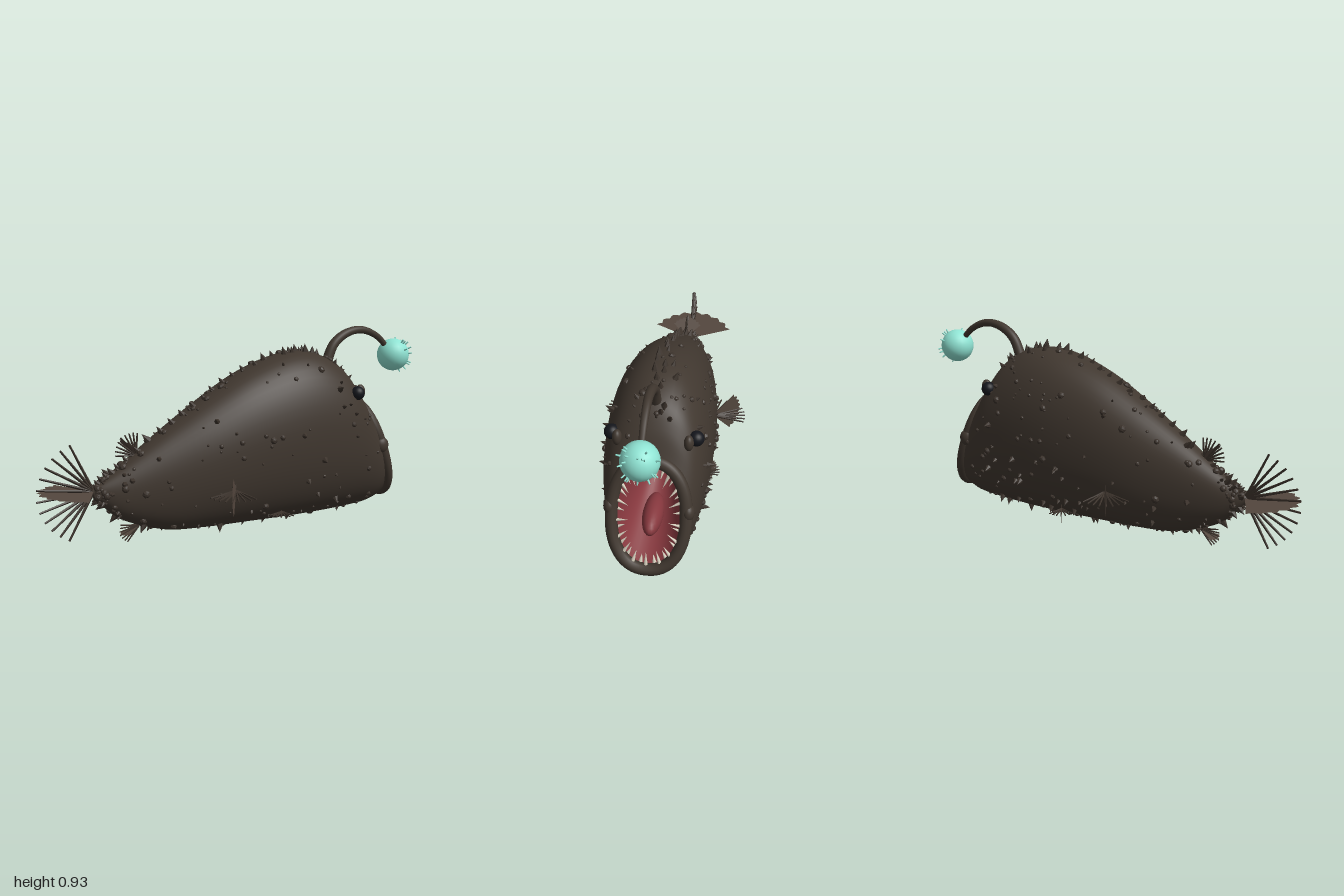
import * as THREE from 'three';
import { mergeGeometries } from 'three/addons/utils/BufferGeometryUtils.js';

const V = (x, y, z) => new THREE.Vector3(x, y, z);
const mat = (color, opts = {}) => new THREE.MeshStandardMaterial({ color, ...opts });
const SKIN = mat(0x40372f);
const ROUGH = mat(0x3b322b, { flatShading: true });
const MEMBRANE = mat(0x54473e, { side: THREE.DoubleSide });
const FLESH = mat(0x85373d);
const TOOTH = mat(0xd9d2c0);
const GLOW = mat(0x8fe3d3);

// Small seeded random generator
let seed = 7;
const rnd = (a = 0, b = 1) => {
  seed = (seed * 16807) % 2147483647;
  return a + (b - a) * (seed / 2147483647);
};
const pw = (v, e) => Math.sign(v) * Math.abs(v) ** e;

// Each section: top x, top y, bottom x, bottom y, half width
const BODY = [
  [-0.75, 0.25, -0.75, 0.235, 0.008],
  [-0.7, 0.285, -0.7, 0.18, 0.038],
  [-0.6, 0.35, -0.6, 0.1, 0.075],
  [-0.4, 0.485, -0.4, 0.032, 0.13],
  [-0.2, 0.61, -0.2, 0.017, 0.178],
  [0, 0.72, 0, 0.015, 0.21],
  [0.2, 0.79, 0.2, 0.013, 0.23],
  [0.36, 0.8, 0.4, 0.015, 0.233],
  [0.5, 0.75, 0.58, 0.022, 0.222],
  [0.58, 0.665, 0.71, 0.035, 0.2],
  [0.645, 0.55, 0.8, 0.07, 0.168],
];
const THROAT = [
  [0.645, 0.54, 0.805, 0.08, 0.155],
  [0.58, 0.52, 0.72, 0.1, 0.14],
  [0.45, 0.46, 0.54, 0.16, 0.1],
  [0.35, 0.37, 0.37, 0.25, 0.05],
  [0.32, 0.315, 0.32, 0.305, 0.004],
];

// Point function over a lofted skin: t along the sections, a around them
function skin(sections) {
  const top = new THREE.CatmullRomCurve3(sections.map(s => V(s[0], s[1], s[4])), false, 'catmullrom');
  const low = new THREE.CatmullRomCurve3(sections.map(s => V(s[2], s[3], 0)), false, 'catmullrom');
  return (t, a) => {
    const p = top.getPoint(t), q = low.getPoint(t);
    const k = (1 + pw(Math.cos(a), 0.92)) / 2;
    return V(q.x + (p.x - q.x) * k, q.y + (p.y - q.y) * k, p.z * pw(Math.sin(a), 0.92));
  };
}

function loft(point, rows, cols) {
  const pos = [], idx = [];
  for (let i = 0; i <= rows; i++)
    for (let j = 0; j < cols; j++) {
      pos.push(...point(i / rows, (j / cols) * Math.PI * 2).toArray());
      if (i === rows) continue;
      const a = i * cols + j, b = i * cols + ((j + 1) % cols);
      idx.push(a, b, a + cols, b, b + cols, a + cols);
    }
  const g = new THREE.BufferGeometry();
  g.setAttribute('position', new THREE.Float32BufferAttribute(pos, 3));
  g.setIndex(idx);
  g.computeVertexNormals();
  return g;
}

// Stands a geometry at a point with its +y along dir
const UP = V(0, 1, 0);
const place = (g, p, dir, s = V(1, 1, 1)) => g.applyMatrix4(new THREE.Matrix4().compose(
  p, new THREE.Quaternion().setFromUnitVectors(UP, dir.clone().normalize()), s));
const spike = (p, dir, r, h, sides = 6) => place(new THREE.ConeGeometry(r, h, sides).translate(0, h * 0.4, 0), p, dir);

// Fan of rays crossed by a scalloped membrane that shares the same axis
function fin(name, base, axis, side, r, rays, spread, rayR) {
  const g = new THREE.Group();
  g.name = name;
  const sticks = [];
  for (let i = 0; i < rays; i++) {
    const a = ((i / (rays - 1)) * 2 - 1) * spread;
    const len = r * (1 - 0.1 * Math.abs(a) / spread);
    const c = new THREE.CylinderGeometry(rayR * 0.6, rayR, len, 5).translate(0, len / 2, 0);
    sticks.push(c.rotateZ(a));
  }
  const shape = new THREE.Shape();
  shape.moveTo(0, 0);
  for (let i = 0; i <= 32; i++) {
    const a = (i / 16 - 1) * spread;
    const d = r * (0.95 - 0.1 * Math.abs(a) - (i % 4 === 2 ? 0.07 : i % 2 ? 0.03 : 0));
    shape.lineTo(Math.sin(a) * d, Math.cos(a) * d);
  }
  const rayMesh = new THREE.Mesh(mergeGeometries(sticks), ROUGH);
  rayMesh.name = name + 'Rays';
  const web = new THREE.Mesh(new THREE.ShapeGeometry(shape).rotateY(Math.PI / 2), MEMBRANE);
  web.name = name + 'Membrane';
  const y = axis.clone().normalize();
  const z = side.clone().cross(y).normalize();
  g.applyMatrix4(new THREE.Matrix4().makeBasis(y.clone().cross(z), y, z).setPosition(base));
  g.add(rayMesh, web);
  return g;
}

export function createModel() {
  seed = 7;
  const model = new THREE.Group();
  const add = (name, geo, material) => {
    const m = new THREE.Mesh(geo, material);
    m.name = name;
    model.add(m);
    return m;
  };
  const ball = (r, p, s = V(1, 1, 1)) =>
    new THREE.SphereGeometry(r, 24, 16).scale(s.x, s.y, s.z).translate(p.x, p.y, p.z);

  // Body and mouth cavity
  const body = skin(BODY);
  add('body', loft(body, 60, 48), SKIN);
  add('throat', loft(skin(THROAT), 20, 40), FLESH);
  add('tongue', ball(1, V(0.6, 0.21, 0), V(0.13, 0.052, 0.045)).rotateZ(0), FLESH);

  // Lip around the slanted mouth
  const centre = V(0.725, 0.31, 0), up = V(-0.33, 0.944, 0), out = V(0.944, 0.33, 0);
  const rim = (a, k = 1) => centre.clone()
    .addScaledVector(up, 0.245 * k * pw(Math.cos(a), 0.88))
    .add(V(0, 0, 0.158 * k * pw(Math.sin(a), 0.88)));
  const ring = Array.from({ length: 40 }, (_, i) => rim((i / 40) * Math.PI * 2));
  add('lip', new THREE.TubeGeometry(new THREE.CatmullRomCurve3(ring, true), 96, 0.027, 12, true), SKIN);

  // Teeth in two alternating lengths
  const teeth = [];
  for (let i = 0; i < 34; i++) {
    const a = ((i + rnd(-0.2, 0.2)) / 34) * Math.PI * 2;
    const p = rim(a, 0.88).addScaledVector(out, i % 2 ? 0.005 : -0.015);
    const dir = centre.clone().sub(p).normalize().addScaledVector(out, rnd(0, 0.35));
    teeth.push(spike(p, dir, 0.009, i % 2 ? rnd(0.055, 0.07) : rnd(0.035, 0.05), 7));
  }
  add('teeth', mergeGeometries(teeth), TOOTH);

  // Eyes, brows and jaw corners
  for (const s of [1, -1]) {
    const side = s > 0 ? 'left' : 'right';
    add(side + 'Eye', ball(0.033, V(0.55, 0.605, s * 0.178)), mat(0x14161c));
    add(side + 'Brow', ball(0.026, V(0.585, 0.605, s * 0.15), V(1, 1.4, 0.8)), SKIN);
    add(side + 'JawCorner', ball(0.036, V(0.71, 0.338, s * 0.166), V(1, 1.1, 0.75)), SKIN);
  }

  // Warts and thorns scattered over the skin
  const bumps = [];
  const stud = (t, a, r, thorn) => {
    const p = body(t, a);
    const n = body(t, a + 0.02).sub(body(t, a - 0.02)).cross(body(t + 0.01, a).sub(body(t - 0.01, a)));
    n.normalize();
    if (thorn) bumps.push(spike(p, n.add(V(-0.25, 0, 0)), r * 0.9, r * 2.2));
    else bumps.push(place(new THREE.SphereGeometry(r, 7, 5), p, n, V(1, 0.8, 1)));
  };
  for (let i = 0; i < 330; i++)
    stud(rnd(0.05, 0.86), rnd(0, Math.PI * 2), 0.007 + 0.013 * rnd() ** 2, rnd() < 0.45);
  for (let i = 0; i < 12; i++) stud(rnd(0.84, 0.96), rnd(0, Math.PI * 2), rnd(0.007, 0.014), false);
  // Thorn ridge along the back
  for (let i = 0; i < 26; i++) stud(0.08 + i * 0.027, rnd(-0.08, 0.08), rnd(0.013, 0.02), true);
  add('wartsAndThorns', mergeGeometries(bumps), ROUGH);

  // Tapered lure stalk
  const path = new THREE.CatmullRomCurve3([V(0.49, 0.73, 0), V(0.535, 0.825, 0), V(0.61, 0.875, 0),
    V(0.7, 0.887, 0), V(0.79, 0.855, 0), V(0.87, 0.785, 0)]);
  const stalk = (t, a) => {
    const p = path.getPoint(t), d = path.getTangent(t), r = 0.026 - 0.013 * t;
    return p.add(V(-d.y * Math.cos(a), d.x * Math.cos(a), Math.sin(a)).multiplyScalar(r));
  };
  add('lureStalk', loft(stalk, 32, 12), SKIN);

  // Glowing bulb with short bristles
  const bulb = V(0.9, 0.755, 0);
  add('lureBulb', ball(0.08, bulb), GLOW);
  const bristles = [];
  for (let i = 0; i < 18; i++) {
    const d = V(rnd(0.1, 1), rnd(-0.8, 0.8), rnd(-0.9, 0.9)).normalize();
    bristles.push(place(new THREE.CylinderGeometry(0.003, 0.005, 0.024, 6),
      bulb.clone().addScaledVector(d, 0.086), d));
  }
  add('lureBristles', mergeGeometries(bristles), GLOW);

  // Fins
  const Z = V(0, 0, 1), Y = V(0, 1, 0);
  model.add(fin('tailFin', V(-0.735, 0.245, 0), V(-1, 0.03, 0), V(0, 1, 0), 0.265, 12, 1.08, 0.008));
  model.add(fin('dorsalFin', V(-0.53, 0.385, 0), V(-0.65, 0.75, 0), V(1, 1, 0), 0.11, 9, 0.8, 0.006));
  model.add(fin('analFin', V(-0.52, 0.065, 0), V(-0.9, -0.35, 0), V(0.35, -0.9, 0), 0.1, 7, 0.5, 0.005));
  for (const s of [1, -1]) {
    const side = s > 0 ? 'left' : 'right';
    model.add(fin(side + 'PectoralFin', V(-0.125, 0.212, s * 0.185), V(-0.6, -0.1, s * 0.8),
      V(0.8, 0, s * 0.6), 0.165, 9, 0.75, 0.006));
    model.add(fin(side + 'PelvicFin', V(0.14, 0.075, s * 0.155), V(-0.55, -0.03, s * 0.8),
      V(0.8, 0, s * 0.55), 0.095, 7, 0.7, 0.005));
  }
  return model;
}
